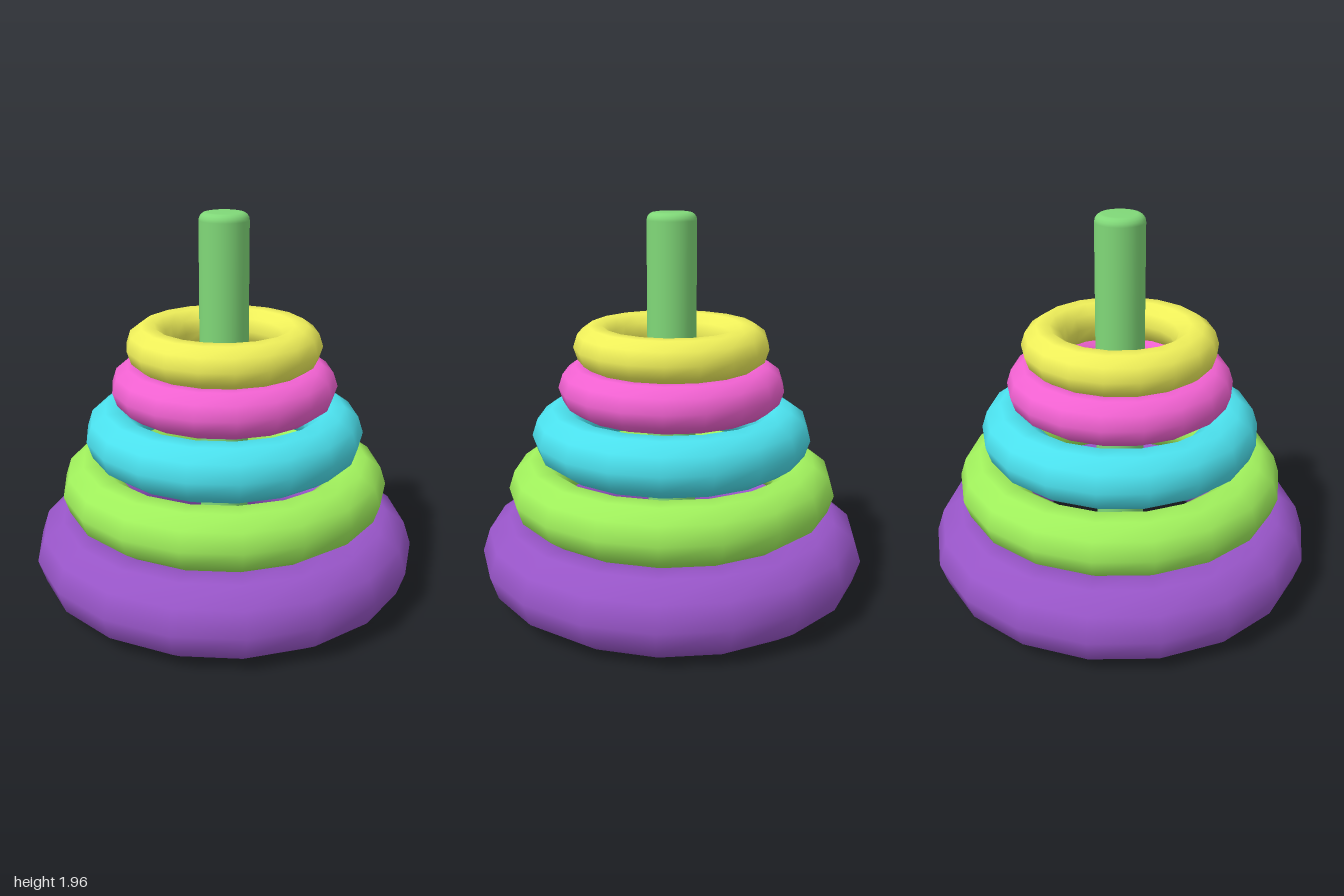
import * as THREE from 'three';

const paint = (color) => new THREE.MeshStandardMaterial({ color });

// A ring lying flat, with corners pointing to front and back
function makeRing(name, color, outer, tube, y) {
  const geometry = new THREE.TorusGeometry(outer - tube, tube, 10, 18);
  geometry.rotateX(Math.PI / 2).rotateY(Math.PI / 2);
  const ring = new THREE.Mesh(geometry, paint(color));
  ring.name = name;
  ring.position.y = y;
  return ring;
}

// Upright peg with a flat base and a rounded upper rim
function makePeg() {
  const radius = 0.125, height = 1.96, bevel = 0.04;
  const profile = [[0, 0], [radius, 0], [radius, 0], [radius, height - bevel]];
  for (let i = 1; i <= 4; i++) {
    const a = (i / 4) * Math.PI / 2;
    profile.push([radius - bevel + bevel * Math.cos(a), height - bevel + bevel * Math.sin(a)]);
  }
  profile.push([0, height]);
  const points = profile.map(([x, y]) => new THREE.Vector2(x, y));
  const peg = new THREE.Mesh(new THREE.LatheGeometry(points, 32), paint(0x80d878));
  peg.name = 'peg';
  return peg;
}

export function createModel() {
  const model = new THREE.Group();
  model.name = 'stackingRings';
  model.add(makePeg());

  // Rings from bottom to top: name, colour, outer radius, tube radius, height of centre
  const rings = [
    ['purpleRing', 0x9855c8, 1.0, 0.205, 0.207],
    ['greenRing', 0xa0f05c, 0.85, 0.155, 0.552],
    ['cyanRing', 0x4be1ee, 0.72, 0.145, 0.836],
    ['pinkRing', 0xf262d2, 0.58, 0.12, 1.085],
    ['yellowRing', 0xf0f05a, 0.5, 0.112, 1.293],
  ];
  for (const ring of rings) model.add(makeRing(...ring));
  return model;
}
